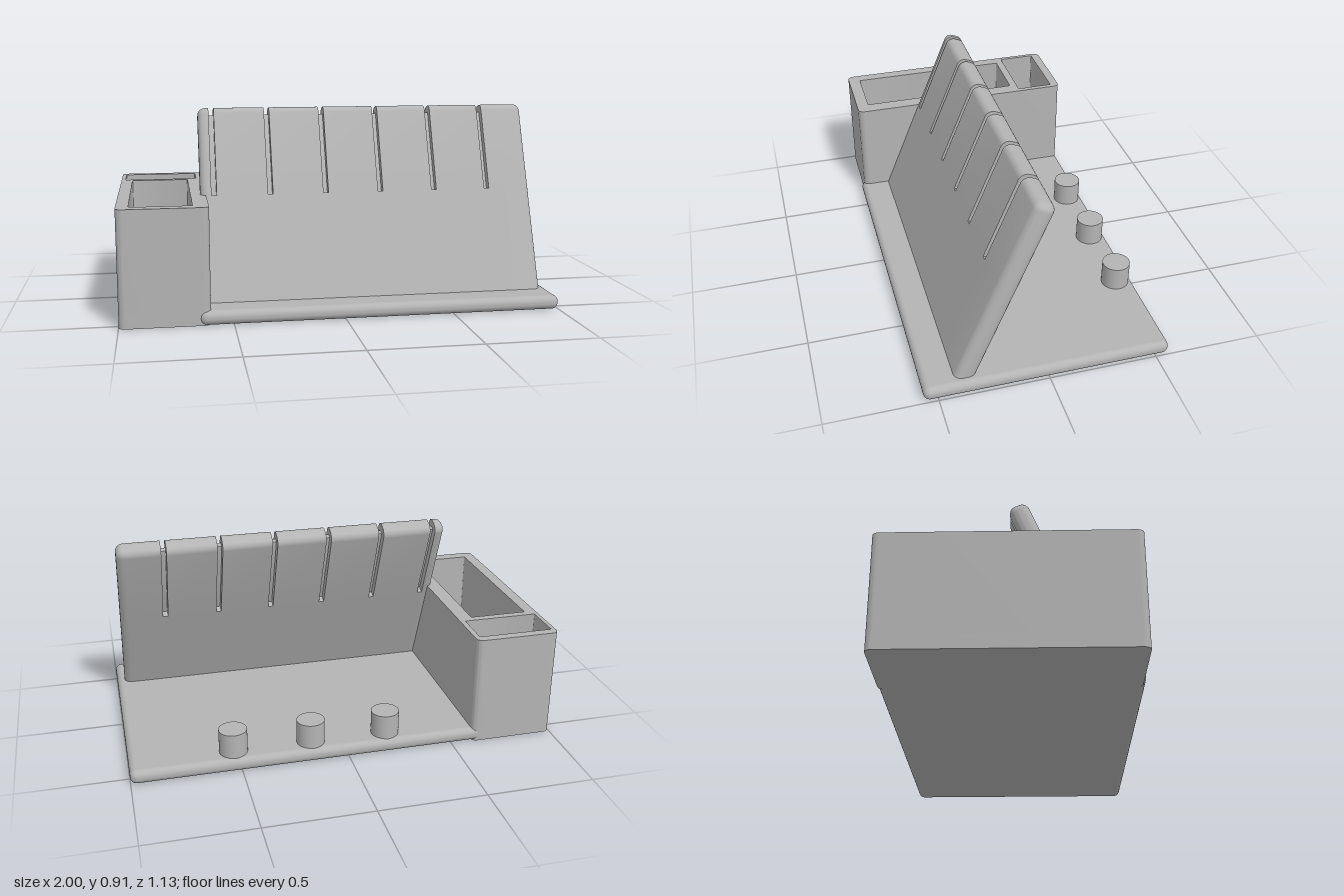
import * as THREE from 'three';
import { toCreasedNormals } from 'three/addons/utils/BufferGeometryUtils.js';
import { RoundedBoxGeometry } from 'three/addons/geometries/RoundedBoxGeometry.js';

const grey = new THREE.MeshStandardMaterial({ color: 0xb4b4b4 });
grey.name = 'grey';

function add(parent, name, geometry, x = 0, y = 0, z = 0) {
  const mesh = new THREE.Mesh(geometry, grey);
  mesh.name = name;
  mesh.position.set(x, y, z);
  parent.add(mesh);
  return mesh;
}

// Rounded rectangle in plan; the shape's y runs along -z
function planRect(x0, x1, z0, z1, r, Type = THREE.Shape) {
  const s = new Type(), a = -z1, b = -z0, q = Math.PI / 2;
  s.moveTo(x0 + r, a);
  s.absarc(x1 - r, a + r, r, -q, 0);
  s.absarc(x1 - r, b - r, r, 0, q);
  s.absarc(x0 + r, b - r, r, q, 2 * q);
  s.absarc(x0 + r, a + r, r, 2 * q, 3 * q);
  return s;
}

function prism(shape, height) {
  const g = new THREE.ExtrudeGeometry(shape, { depth: height, bevelEnabled: false, curveSegments: 6 });
  return toCreasedNormals(g.rotateX(-Math.PI / 2), 0.6);
}

// Panel side profile: inset rounds the ends, groove sinks the part above the slot end
const HALF = 0.047, TOP = 0.91, SLOT_END = 0.478, R = 0.036, STEPS = 6;
function profile(inset, groove) {
  const t = HALF - inset, u = t - groove, top = TOP - inset - groove;
  const r = Math.max(R - inset - groove, 0.0005);
  const half = [[t, -0.04], [t, SLOT_END], [u, SLOT_END]];
  for (let i = 0; i <= STEPS; i++) {
    const a = (i / STEPS) * Math.PI / 2;
    half.push([u - r + r * Math.cos(a), top - r + r * Math.sin(a)]);
  }
  return half.concat(half.map(([z, y]) => [-z, y]).reverse());
}

// Panel lofted along x, with grooves running over front, top and back
function panelGeometry(x0, x1, slots, slotWidth) {
  const sections = [];
  for (let i = 0; i <= STEPS; i++) {
    const a = (i / STEPS) * Math.PI / 2;
    sections.push([x0 + R * (1 - Math.cos(a)), R * (1 - Math.sin(a)), 0]);
  }
  for (const x of slots) {
    const a = x - slotWidth / 2, b = x + slotWidth / 2;
    sections.push([a, 0, 0], [a, 0, 0.035], [b, 0, 0.035], [b, 0, 0]);
  }
  for (let i = STEPS; i >= 0; i--) {
    const a = (i / STEPS) * Math.PI / 2;
    sections.push([x1 - R * (1 - Math.cos(a)), R * (1 - Math.sin(a)), 0]);
  }
  const pos = [], idx = [];
  for (const [x, inset, groove] of sections) {
    for (const [z, y] of profile(inset, groove)) pos.push(x, y, z);
  }
  const n = pos.length / 3 / sections.length;
  for (let s = 0; s < sections.length - 1; s++) {
    for (let i = 0; i < n - 1; i++) {
      const a = s * n + i, d = a + n;
      idx.push(a, d, d + 1, a, d + 1, a + 1);
    }
  }
  const last = (sections.length - 1) * n;
  for (let i = 1; i < n - 1; i++) {
    idx.push(0, i, i + 1, last, last + i + 1, last + i);
  }
  const g = new THREE.BufferGeometry();
  g.setAttribute('position', new THREE.Float32BufferAttribute(pos, 3));
  g.setIndex(idx);
  return toCreasedNormals(g, 0.6);
}

export function createModel() {
  const model = new THREE.Group();
  model.name = 'deskOrganizer';

  // Base plate with rounded edges
  add(model, 'basePlate', new RoundedBoxGeometry(1.65, 0.065, 1.126, 5, 0.03), 0.175, 0.0325, 0);

  // Side bin with two open compartments
  const bin = new THREE.Group();
  bin.name = 'sideBin';
  model.add(bin);
  const floorHeight = 0.065, binHeight = 0.525;
  const outline = () => planRect(-1, -0.6, -0.56, 0.55, 0.03);
  add(bin, 'binFloor', prism(outline(), floorHeight));
  const walls = outline();
  walls.holes.push(
    planRect(-0.945, -0.67, -0.298, 0.49, 0.004, THREE.Path),
    planRect(-0.98, -0.625, -0.517, -0.335, 0.004, THREE.Path));
  add(bin, 'binWalls', prism(walls, binHeight - floorHeight), 0, floorHeight, 0);

  // Leaning panel with cable grooves
  const slots = Array.from({ length: 6 }, (_, i) => -0.562 + i * 0.2615);
  const panel = add(model, 'leaningPanel', panelGeometry(-0.625, 0.963, slots, 0.024), 0, 0.065, 0.37);
  panel.rotation.x = -0.39;

  // Row of pegs along the back
  for (const x of [-0.19, 0.167, 0.528]) {
    add(model, 'peg', new THREE.CylinderGeometry(0.065, 0.065, 0.13, 40), x, 0.115, -0.48);
  }
  return model;
}
